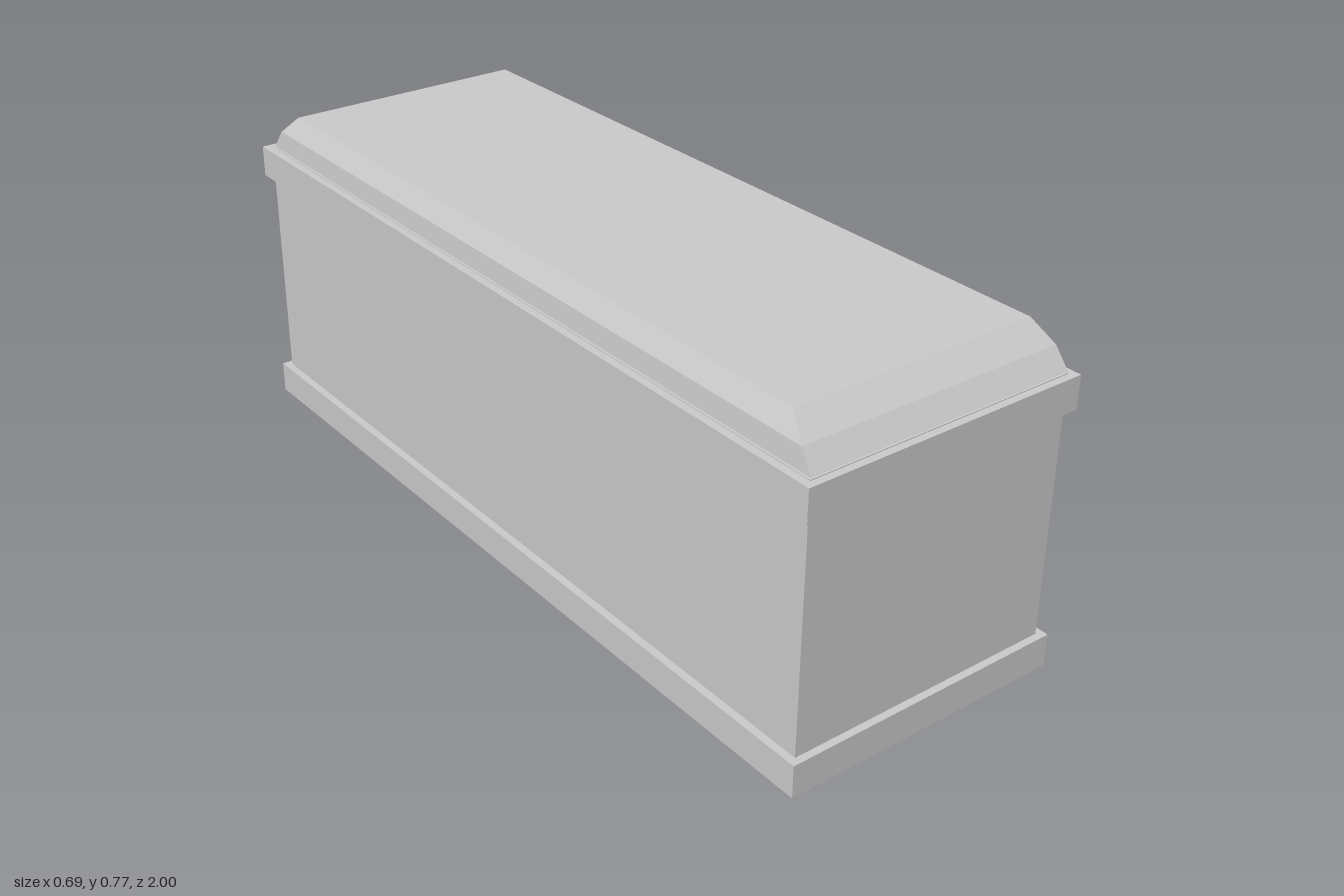
import * as THREE from 'three';

const stone = new THREE.MeshStandardMaterial({ color: 0xcccccc });
stone.name = 'plain grey';

// Box given by its width, depth and bottom and top heights
function slab(name, width, depth, bottom, top, x = 0, z = 0) {
  const mesh = new THREE.Mesh(new THREE.BoxGeometry(width, top - bottom, depth), stone);
  mesh.name = name;
  mesh.position.set(x, (bottom + top) / 2, z);
  return mesh;
}

// Lid: a box with two height steps, each level tapered to its own half sizes
function makeLid() {
  const levels = [
    { y: 0.676, x: 0.326, z: 0.98 },
    { y: 0.724, x: 0.321, z: 0.947 },
    { y: 0.77, x: 0.298, z: 0.897 },
  ];
  const box = new THREE.BoxGeometry(2, 2, 2, 1, 2, 1);
  const pos = box.attributes.position;
  for (let i = 0; i < pos.count; i++) {
    const level = levels[Math.round(pos.getY(i)) + 1];
    pos.setXYZ(i, pos.getX(i) * level.x, level.y, pos.getZ(i) * level.z);
  }
  const geometry = box.toNonIndexed();
  geometry.computeVertexNormals();
  const mesh = new THREE.Mesh(geometry, stone);
  mesh.name = 'lid';
  mesh.position.x = 0.005;
  return mesh;
}

export function createModel() {
  const model = new THREE.Group();
  model.name = 'chest';
  model.add(
    slab('body', 0.652, 1.966, 0.002, 0.678),
    slab('baseTrim', 0.688, 2, 0, 0.076),
    slab('rimTrim', 0.688, 2, 0.601, 0.676),
    slab('latch', 0.03, 0.029, 0.515, 0.578, 0.322, 0.001),
    makeLid(),
  );
  return model;
}
